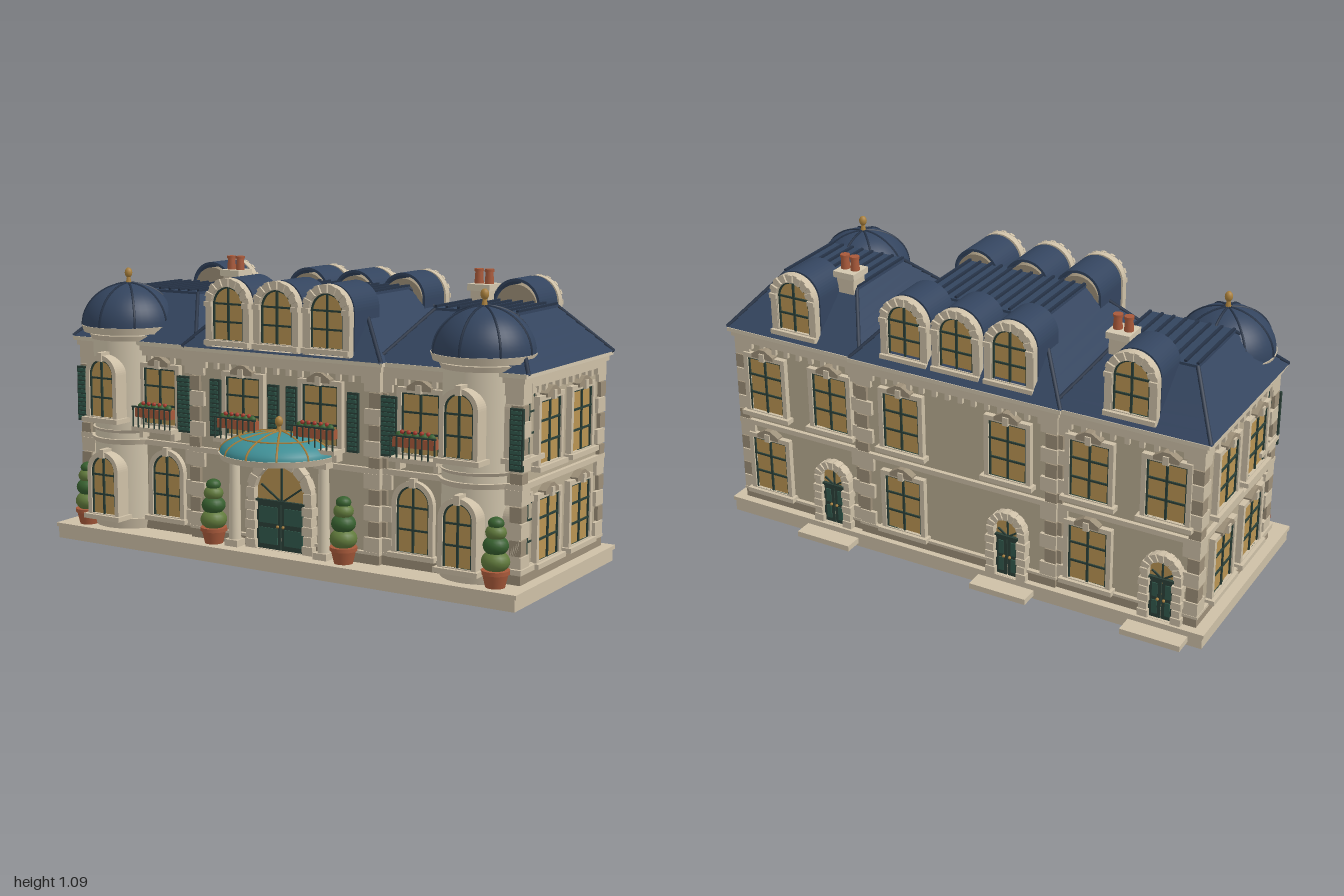
import * as THREE from 'three';

const mats = {};
const M = (c) => (mats[c] ??= new THREE.MeshStandardMaterial({ color: c, side: THREE.DoubleSide }));
const WALL = M(0xb9ac92), TRIM = M(0xcdbfa6), CREAM = M(0xd3c7ae), STONE = M(0x9c8f78), SLATE = M(0x33445e),
  SEAM = M(0x263347), AMBER = M(0xb99352), GREEN = M(0x2b4038), SHUTTER = M(0x31594c), CLAY = M(0xa8593a),
  LEAF = M(0x37602f), LEAF2 = M(0x617a3c), GLASS = M(0x3f8f96), GOLD = M(0xa9803c), RED = M(0xa83a2c);

function add(p, name, geo, mat, x = 0, y = 0, z = 0) {
  const m = new THREE.Mesh(geo, mat);
  m.name = name;
  m.position.set(x, y, z);
  p.add(m);
  return m;
}
const box = (p, name, mat, w, h, d, x, y, z) => add(p, name, new THREE.BoxGeometry(w, h, d), mat, x, y, z);
// box given by its limits
const span = (p, name, mat, x0, x1, y0, y1, z0, z1) =>
  box(p, name, mat, x1 - x0, y1 - y0, z1 - z0, (x0 + x1) / 2, (y0 + y1) / 2, (z0 + z1) / 2);
const cyl = (p, name, mat, r0, r1, h, x, y, z, n = 24) => add(p, name, new THREE.CylinderGeometry(r1, r0, h, n), mat, x, y, z);
const extrude = (s, depth) => new THREE.ExtrudeGeometry(s, { depth, bevelEnabled: false, curveSegments: 14 });
function group(p, name, x = 0, y = 0, z = 0, ry = 0) {
  const g = new THREE.Group();
  g.name = name;
  g.position.set(x, y, z);
  g.rotation.y = ry;
  p.add(g);
  return g;
}

// Opening outline, rectangular or round headed
function outline(w, h, arched, y0 = 0) {
  const s = new THREE.Shape();
  s.moveTo(-w / 2, y0);
  s.lineTo(w / 2, y0);
  if (arched) s.absarc(0, h - w / 2, w / 2, 0, Math.PI, false);
  else { s.lineTo(w / 2, h); s.lineTo(-w / 2, h); }
  s.closePath();
  return s;
}
function ring(w, h, arched, t, depth, open = false) {
  const s = outline(w + 2 * t, h + t, arched, open ? 0 : -t);
  s.holes.push(outline(w, h, arched, open ? 0.001 : 0));
  return extrude(s, depth);
}

// Window facing +z, its sill line at y
function makeWindow(p, x, y, z, ry, w, h, arched, { d = 0.022, t = 0.018, sill = true, hood = true } = {}) {
  const g = group(p, 'window', x, y, z, ry);
  add(g, 'windowFrame', ring(w, h, arched, t, d), TRIM);
  add(g, 'windowPane', extrude(outline(w, h, arched), 0.004), AMBER, 0, 0, d - 0.016);
  add(g, 'sash', ring(w - 0.012, h - 0.006, arched, 0.006, 0.008), GREEN, 0, 0, d - 0.014);
  box(g, 'mullion', GREEN, 0.008, h, 0.006, 0, h / 2, d - 0.008);
  for (const f of [0.34, 0.68]) box(g, 'glazingBar', GREEN, w, 0.007, 0.006, 0, h * f, d - 0.008);
  if (sill) box(g, 'sill', TRIM, w + 0.06, 0.018, d + 0.014, 0, -0.012, (d + 0.014) / 2);
  if (!hood) return g;
  if (arched) box(g, 'keystone', TRIM, 0.022, 0.034, d + 0.008, 0, h + 0.012, (d + 0.008) / 2);
  else {
    const s = new THREE.Shape([[-w * 0.32, 0], [w * 0.32, 0], [w * 0.32, 0.014], [0.012, 0.036], [-0.012, 0.036], [-w * 0.32, 0.014]]
      .map(([a, b]) => new THREE.Vector2(a, b)));
    add(g, 'hood', extrude(s, d + 0.008), STONE, 0, h + 0.01, 0);
    box(g, 'keystone', TRIM, 0.022, 0.032, d + 0.014, 0, h + 0.016, (d + 0.014) / 2);
  }
  return g;
}

// Sloping block between two rectangles [x0,x1,z0,z1]
function frustum(a, y0, b, y1) {
  const g = new THREE.BoxGeometry(1, 1, 1), q = g.attributes.position;
  for (let i = 0; i < q.count; i++) {
    const r = q.getY(i) > 0 ? b : a;
    q.setXYZ(i, r[q.getX(i) > 0 ? 1 : 0], q.getY(i) > 0 ? y1 : y0, r[q.getZ(i) > 0 ? 3 : 2]);
  }
  g.computeVertexNormals();
  return g;
}
// Mansard in slate courses, with hips and a standing-seam top
function mansard(p, a, y0, b, y1) {
  const g = group(p, 'mansardRoof'), n = 6;
  const at = (t) => a.map((v, i) => v + (b[i] - v) * t);
  for (let i = 0; i < n; i++) {
    const lo = at(i / n).map((v, k) => v + (k % 2 ? 0.004 : -0.004));
    add(g, 'slateCourse', frustum(lo, y0 + (y1 - y0) * i / n, at((i + 1) / n), y0 + (y1 - y0) * (i + 1) / n), SLATE);
  }
  for (const i of [0, 1]) for (const k of [2, 3]) {
    const hip = new THREE.LineCurve3(new THREE.Vector3(a[i], y0, a[k]), new THREE.Vector3(b[i], y1, b[k]));
    add(g, 'hip', new THREE.TubeGeometry(hip, 1, 0.008, 6), SEAM);
  }
  span(g, 'roofTop', SLATE, b[0] - 0.006, b[1] + 0.006, y1 - 0.005, y1 + 0.005, b[2] - 0.006, b[3] + 0.006);
  const m = Math.round((b[1] - b[0]) / 0.045);
  for (let i = 0; i <= m; i++) box(g, 'standingSeam', SEAM, 0.01, 0.012, b[3] - b[2], b[0] + (b[1] - b[0]) * i / m, y1 + 0.007, (b[2] + b[3]) / 2);
}

function dormer(p, x, z, ry, depth) {
  const g = group(p, 'dormer', x, 0.8, z, ry), w = 0.186, h = 0.245;
  add(g, 'dormerBody', extrude(outline(w - 0.02, h - 0.012, true), depth - 0.01), STONE, 0, 0, -depth + 0.002);
  add(g, 'dormerRoof', ring(w - 0.016, h, true, 0.01, depth - 0.02, true), SLATE, 0, 0, -depth);
  add(g, 'dormerArch', ring(0.142, h - 0.016, true, 0.026, 0.03, true), TRIM, 0, 0, -0.01);
  for (let i = 0; i <= 8; i++) {
    const a = Math.PI * i / 8;
    box(g, 'archStone', TRIM, 0.03, 0.018, 0.012, Math.cos(a) * 0.083, h - 0.087 + Math.sin(a) * 0.083, 0.022).rotation.z = a;
  }
  makeWindow(g, 0, 0.028, -0.004, 0, 0.135, h - 0.05, true, { t: 0.006, hood: false });
}

// Alternating corner stones; sx and sz point outwards
function quoins(p, x, z, sx, sz) {
  for (let i = 0; i < 11; i++) {
    const l = i % 2 ? 0.045 : 0.065;
    box(p, 'quoin', i % 2 ? STONE : TRIM, l, 0.054, l, x + sx * (0.014 - l / 2), 0.13 + i * 0.058, z + sz * (0.014 - l / 2));
  }
}
// Walls with plinth, string course, cornice and dentils
function block(p, x0, x1, z0, z1) {
  const g = group(p, 'block');
  const band = (name, mat, y0, y1, o) => span(g, name, mat, x0 - o, x1 + o, y0, y1, z0 - o, z1 + o);
  band('walls', WALL, 0.06, 0.76, 0);
  band('plinth', STONE, 0.06, 0.095, 0.012);
  band('plinthCap', TRIM, 0.095, 0.105, 0.016);
  band('stringCourse', TRIM, 0.39, 0.41, 0.016);
  band('frieze', TRIM, 0.735, 0.755, 0.014);
  band('cornice', TRIM, 0.755, 0.775, 0.022);
  band('eaves', CREAM, 0.775, 0.79, 0.032);
  const nx = Math.round((x1 - x0) / 0.055), nz = Math.round((z1 - z0) / 0.055);
  for (let i = 0; i <= nx; i++) for (const z of [z0, z1]) box(g, 'dentil', TRIM, 0.018, 0.026, 0.028, x0 + (x1 - x0) * i / nx, 0.724, z);
  for (let i = 0; i <= nz; i++) for (const x of [x0, x1]) box(g, 'dentil', TRIM, 0.028, 0.026, 0.018, x, 0.724, z0 + (z1 - z0) * i / nz);
  for (const [x, sx] of [[x0, -1], [x1, 1]]) for (const [z, sz] of [[z0, -1], [z1, 1]]) quoins(g, x, z, sx, sz);
}

// Dome by lathe, with raised ribs along its profile
function dome(p, r, h, x, y, z, mat, ribMat, ribs, ribR, half = false) {
  const pts = [];
  for (let i = 0; i <= 14; i++) pts.push(new THREE.Vector2(Math.cos(i / 14 * Math.PI / 2) * r, Math.sin(i / 14 * Math.PI / 2) * h));
  const g = group(p, 'dome', x, y, z), start = half ? -Math.PI / 2 : 0, sweep = half ? Math.PI : Math.PI * 2;
  add(g, 'domeShell', new THREE.LatheGeometry(pts, 40, start, sweep), mat);
  const curve = new THREE.CatmullRomCurve3(pts.map((q) => new THREE.Vector3(0, q.y, q.x)));
  for (let i = 0; i <= ribs; i++) add(g, 'domeRib', new THREE.TubeGeometry(curve, 14, ribR, 5), ribMat).rotation.y = start + sweep * i / ribs;
  return g;
}
function finial(p, x, y, z) {
  cyl(p, 'finialStem', GOLD, 0.012, 0.006, 0.03, x, y + 0.012, z, 10);
  add(p, 'finialBall', new THREE.SphereGeometry(0.015, 14, 10), GOLD, x, y + 0.04, z).scale.y = 1.3;
}

function tower(p, s) {
  const x = 0.77 * s, z = 0.19, g = group(p, 'tower');
  cyl(g, 'towerWall', CREAM, 0.14, 0.14, 0.76, x, 0.44, z, 40);
  for (const [y, h, r] of [[0.08, 0.04, 0.152], [0.4, 0.02, 0.152], [0.44, 0.012, 0.148], [0.8, 0.02, 0.155], [0.83, 0.026, 0.184]])
    cyl(g, 'towerBand', TRIM, r - 0.008, r, h, x, y, z, 40);
  dome(g, 0.18, 0.158, x, 0.842, z, SLATE, SEAM, 8, 0.005);
  finial(g, x, 1.0, z);
  for (const [y, h] of [[0.12, 0.225], [0.5, 0.22]]) {
    makeWindow(g, x, y, z + 0.112, 0, 0.112, h, true, { d: 0.07 });
    makeWindow(g, x + s * 0.112, y, z, s * Math.PI / 2, 0.112, h, true, { d: 0.07 });
  }
}

function flowerBox(p, x, z) {
  const g = group(p, 'flowerBox', x, 0.46, z);
  box(g, 'balconyLedge', TRIM, 0.19, 0.016, 0.075, 0, 0, 0.037);
  for (const s of [-1, 1]) box(g, 'bracket', TRIM, 0.018, 0.035, 0.04, s * 0.075, -0.022, 0.02);
  box(g, 'planter', CLAY, 0.165, 0.034, 0.035, 0, 0.062, 0.05);
  for (let i = 0; i < 8; i++) cyl(g, 'baluster', GREEN, 0.003, 0.003, 0.08, -0.0875 + i * 0.025, 0.045, 0.072, 6);
  box(g, 'handrail', GREEN, 0.185, 0.006, 0.008, 0, 0.085, 0.072);
  for (let i = 0; i < 5; i++) {
    add(g, 'foliage', new THREE.IcosahedronGeometry(0.014, 1), LEAF, -0.064 + i * 0.032, 0.085, 0.05);
    add(g, 'blossom', new THREE.IcosahedronGeometry(0.008, 1), RED, -0.05 + i * 0.026, 0.098, 0.056);
  }
}
function shutter(p, x, z, w = 0.046) {
  const g = group(p, 'shutter', x, 0.565, z);
  box(g, 'shutterPanel', GREEN, w, 0.215, 0.012, 0, 0, 0.006);
  for (let i = 0; i < 12; i++) box(g, 'louvre', SHUTTER, w - 0.012, 0.011, 0.008, 0, -0.093 + i * 0.017, 0.013);
}
function topiary(p, x, z) {
  const g = group(p, 'topiary', x, 0.06, z);
  cyl(g, 'pot', CLAY, 0.034, 0.046, 0.05, 0, 0.025, 0);
  cyl(g, 'potRim', CLAY, 0.05, 0.05, 0.014, 0, 0.054, 0);
  [[0.09, 0.05, LEAF2], [0.145, 0.045, LEAF], [0.19, 0.037, LEAF2], [0.222, 0.028, LEAF]].forEach(([y, r, m]) =>
    add(g, 'clippedTier', new THREE.SphereGeometry(r, 18, 12), m, 0, y, 0).scale.y = 0.78);
}

// Round-headed double door facing +z
function door(p, x, z, ry, w, h, leafH, t) {
  const g = group(p, 'door', x, 0.06, z, ry);
  add(g, 'doorSurround', ring(w, h, true, t, 0.03, true), TRIM);
  add(g, 'fanlight', extrude(outline(w, h, true), 0.006), AMBER, 0, 0, 0.004);
  for (const s of [-1, 1]) {
    box(g, 'doorLeaf', GREEN, w / 2 - 0.004, leafH, 0.014, s * w / 4, leafH / 2, 0.012);
    for (const f of [0.28, 0.72]) box(g, 'doorPanel', SHUTTER, w / 2 - 0.03, leafH * 0.34, 0.005, s * w / 4, leafH * f, 0.02);
    add(g, 'doorKnob', new THREE.SphereGeometry(0.006, 8, 6), GOLD, s * 0.012, leafH * 0.5, 0.024);
    box(g, 'fanBar', GREEN, w * 0.5, 0.006, 0.006, s * w * 0.2, leafH + w * 0.14, 0.014).rotation.z = s * 0.6;
    for (let i = 0; i < 5; i++) box(g, 'jambStone', TRIM, t * (i % 2 ? 1.2 : 1.5), leafH / 5 - 0.004, 0.04, s * (w + t) / 2, leafH * (i + 0.5) / 5, 0.018);
  }
  box(g, 'fanBar', GREEN, 0.006, h - leafH, 0.006, 0, (h + leafH) / 2, 0.014);
  box(g, 'transom', GREEN, w, 0.012, 0.018, 0, leafH, 0.014);
  for (let i = 0; i <= 8; i++) {
    const a = Math.PI * i / 8, r = (w + t) / 2;
    box(g, 'archStone', TRIM, t * 1.15, w * 0.17, 0.038, Math.cos(a) * r, h - w / 2 + Math.sin(a) * r, 0.018).rotation.z = a;
  }
}

function entrance(p) {
  const g = group(p, 'entrance');
  door(g, 0, 0.27, 0, 0.22, 0.32, 0.18, 0.03);
  for (const s of [-1, 1]) {
    cyl(g, 'column', CREAM, 0.023, 0.019, 0.36, s * 0.195, 0.24, 0.305);
    box(g, 'columnBase', TRIM, 0.058, 0.025, 0.058, s * 0.195, 0.073, 0.305);
    box(g, 'capital', TRIM, 0.054, 0.022, 0.054, s * 0.195, 0.406, 0.305);
  }
  add(g, 'canopyRim', new THREE.CylinderGeometry(0.227, 0.22, 0.022, 40, 1, false, -Math.PI / 2, Math.PI), TRIM, 0, 0.424, 0.29);
  const d = dome(g, 0.222, 0.075, 0, 0.434, 0.29, GLASS, GOLD, 6, 0.0045, true);
  const hoop = add(d, 'canopyHoop', new THREE.TorusGeometry(0.15, 0.004, 5, 32, Math.PI), GOLD, 0, 0.056, 0);
  hoop.rotation.x = Math.PI / 2;
  finial(g, 0, 0.505, 0.3);
}

function chimney(p, x) {
  const g = group(p, 'chimney', x, 0, -0.225);
  box(g, 'stack', TRIM, 0.072, 0.2, 0.075, 0, 0.92, 0);
  box(g, 'stackCap', CREAM, 0.09, 0.024, 0.095, 0, 1.02, 0);
  for (const s of [-1, 1]) {
    cyl(g, 'chimneyPot', CLAY, 0.018, 0.014, 0.055, s * 0.021, 1.055, 0, 14);
    cyl(g, 'potLip', CLAY, 0.018, 0.018, 0.01, s * 0.021, 1.081, 0, 14);
  }
}

export function createModel() {
  const root = new THREE.Group();
  root.name = 'mansion';
  span(root, 'terrace', TRIM, -0.993, 0.993, 0, 0.045, -0.45, 0.375);
  span(root, 'terraceEdge', TRIM, -1, 1, 0.045, 0.06, -0.455, 0.38);

  // Centre block
  block(root, -0.4, 0.4, -0.42, 0.27);
  mansard(root, [-0.43, 0.43, -0.445, 0.305], 0.79, [-0.24, 0.24, -0.22, 0.12], 1.0);
  for (const x of [-0.213, 0, 0.213]) {
    dormer(root, x, 0.3, 0, 0.19);
    dormer(root, x, -0.395, Math.PI, 0.17);
  }
  entrance(root);

  for (const s of [-1, 1]) {
    // Wings
    const lim = (a, b) => (s > 0 ? [a, b] : [-b, -a]);
    block(root, ...lim(0.4, 0.945), -0.41, 0.25);
    mansard(root, [...lim(0.39, 0.98), -0.435, 0.275], 0.79, [...lim(0.52, 0.84), -0.24, 0.08], 0.965);
    dormer(root, s * 0.68, -0.405, Math.PI, 0.17);
    tower(root, s);
    chimney(root, s * 0.555);

    // Front openings
    makeWindow(root, s * 0.54, 0.12, 0.25, 0, 0.13, 0.24, true);
    for (const [x, z] of [[0.567, 0.25], [0.168, 0.27]]) {
      makeWindow(root, s * x, 0.475, z, 0, 0.15, 0.215, false, { sill: false });
      flowerBox(root, s * x, z);
    }
    shutter(root, s * 0.3, 0.27);
    shutter(root, s * 0.04, 0.27);
    shutter(root, s * 0.445, 0.266, 0.065);
    shutter(root, s * 0.94, 0.265, 0.05);
    for (const x of [0.285, 0.89]) topiary(root, s * x, 0.315);

    // Side windows
    for (const z of [0.055, -0.21]) for (const y of [0.12, 0.46])
      makeWindow(root, s * 0.945, y, z, s * Math.PI / 2, 0.165, 0.22, false);
  }

  // Rear windows, doors and steps
  for (const x of [-0.825, -0.535, -0.22, 0.22, 0.535, 0.825]) {
    const z = Math.abs(x) < 0.4 ? -0.42 : -0.41;
    makeWindow(root, x, 0.46, z, Math.PI, 0.15, 0.22, false);
    if ([-0.825, -0.22, 0.535].includes(x)) {
      door(root, x, z, Math.PI, 0.1, 0.24, 0.16, 0.026);
      box(root, 'rearStep', TRIM, 0.23, 0.022, 0.09, x, 0.024, -0.475);
    } else makeWindow(root, x, 0.12, z, Math.PI, 0.15, 0.22, false);
  }
  return root;
}
